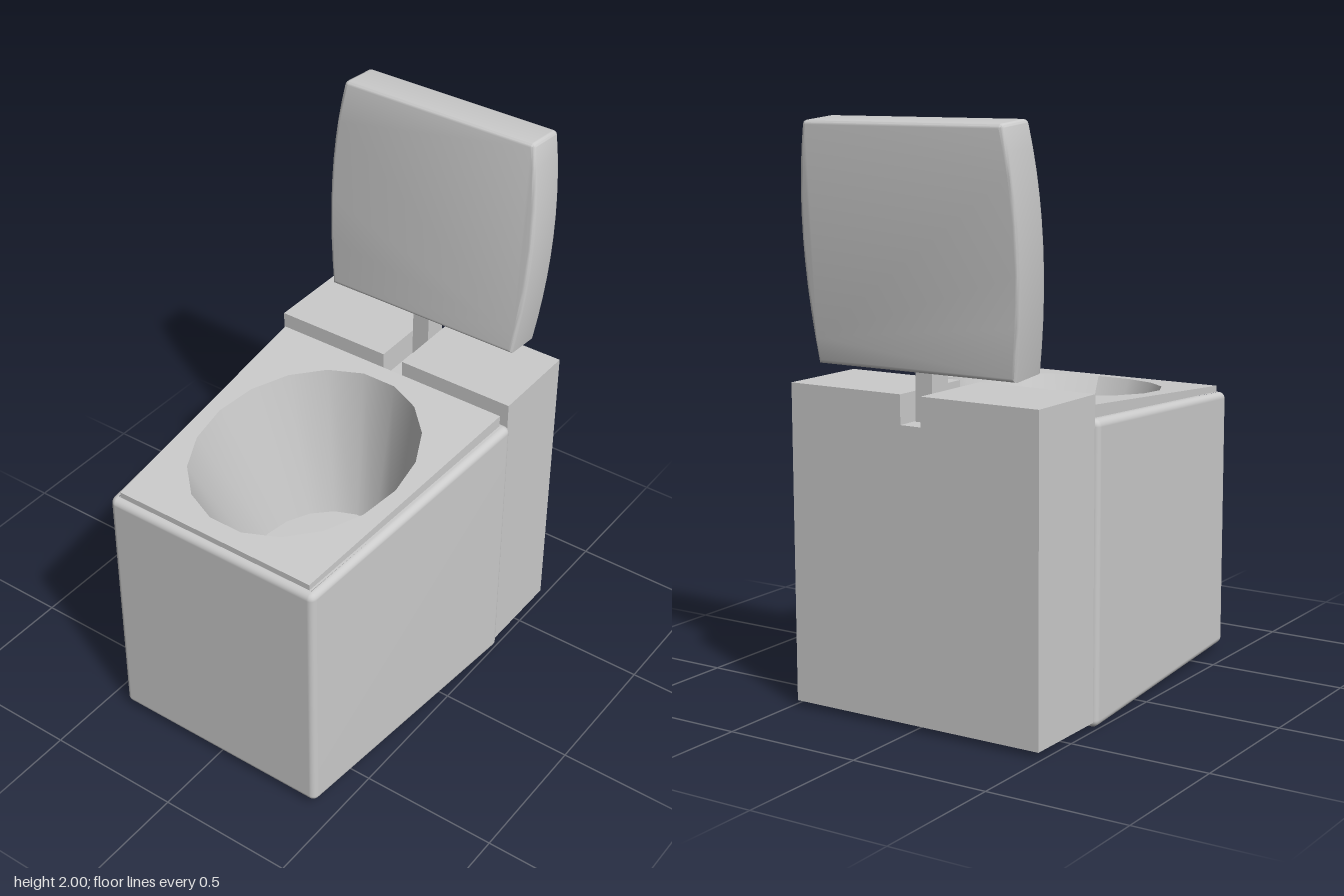
import * as THREE from 'three';
import { mergeVertices, toCreasedNormals } from 'three/addons/utils/BufferGeometryUtils.js';
import { RoundedBoxGeometry } from 'three/addons/geometries/RoundedBoxGeometry.js';

const lerp = THREE.MathUtils.lerp;
const SIDES = 18;
const STEP = (Math.PI * 2) / SIDES;
const RIM = { rx: 0.375, rz: 0.444, cz: 0.1875 };
const FLOOR = { rx: 0.242, rz: 0.284, cz: 0.1, y: 0.48 };

// Sloping top planes of the body and of the seat plate
const bodyTop = (z) => 0.972 + (0.72 - z) * 0.0625;
const seatTop = (z) => 0.995 + (0.7 - z) * 0.0837;

// Moves every vertex of a geometry by a rule
function warp(geo, rule) {
  const p = geo.attributes.position;
  const v = new THREE.Vector3();
  for (let i = 0; i < p.count; i++) {
    rule(v.fromBufferAttribute(p, i));
    p.setXYZ(i, v.x, v.y, v.z);
  }
  geo.computeVertexNormals();
  return geo;
}

// Tapered outline with the bowl opening, drawn as x, -z
function ringShape(frontX, frontZ, backX, backZ) {
  const shape = new THREE.Shape([
    new THREE.Vector2(-frontX, -frontZ), new THREE.Vector2(frontX, -frontZ),
    new THREE.Vector2(backX, -backZ), new THREE.Vector2(-backX, -backZ),
  ]);
  shape.holes.push(new THREE.Path(ellipse(RIM)));
  return shape;
}

function ellipse({ rx, rz, cz }) {
  return Array.from({ length: SIDES }, (_, i) => {
    const a = (i + 0.5) * STEP;
    return new THREE.Vector2(Math.sin(a) * rx, -(cz + Math.cos(a) * rz));
  });
}

// Rounded, tapered box whose flat top is left open for the bowl
function bodyGeometry() {
  let geo = new RoundedBoxGeometry(0.92, 1, 1.06, 4, 0.025);
  geo.deleteAttribute('normal');
  geo.deleteAttribute('uv');
  geo = mergeVertices(geo);
  const open = [];
  const p = geo.attributes.position;
  for (let i = 0; i < geo.index.count; i += 3) {
    const tri = [0, 1, 2].map((k) => geo.index.getX(i + k));
    if (!tri.every((n) => p.getY(n) > 0.4999)) open.push(...tri);
  }
  warp(geo, (v) => {
    v.z += 0.19;
    const t = (0.72 - v.z) / 1.06;
    v.x *= lerp(0.425, 0.5, t) / 0.46;
    v.y = lerp(0.02 * (1 - t), bodyTop(v.z), v.y + 0.5);
  });
  geo.setIndex(open);
  return geo;
}

export function createModel() {
  const model = new THREE.Group();
  const grey = new THREE.MeshStandardMaterial({ color: 0xcccccc });
  const thin = new THREE.MeshStandardMaterial({ color: 0xcccccc, side: THREE.DoubleSide });

  const add = (name, geo, material = grey) => {
    const mesh = new THREE.Mesh(geo, material);
    mesh.name = name;
    model.add(mesh);
    return mesh;
  };
  const box = (name, x0, x1, y0, y1, z0, z1) =>
    add(name, new THREE.BoxGeometry(x1 - x0, y1 - y0, z1 - z0))
      .position.set((x0 + x1) / 2, (y0 + y1) / 2, (z0 + z1) / 2);

  // Pedestal body and the flat margin on its top
  add('body', bodyGeometry());
  const margin = new THREE.ShapeGeometry(ringShape(0.402, 0.695, 0.475, -0.315)).rotateX(-Math.PI / 2);
  add('bodyTop', warp(margin, (v) => { v.y = bodyTop(v.z); }), thin);

  // Wedge-shaped seat plate
  const seat = new THREE.ExtrudeGeometry(ringShape(0.395, 0.695, 0.465, -0.315), { depth: 1, bevelEnabled: false });
  seat.rotateX(-Math.PI / 2);
  warp(seat, (v) => { v.y = lerp(bodyTop(v.z), seatTop(v.z), v.y); });
  add('seatPlate', toCreasedNormals(seat, 0.5));

  // Bowl narrowing from the sloping rim to a level floor
  const bowl = new THREE.CylinderGeometry(1, 1, 1, SIDES, 1, true, STEP / 2);
  warp(bowl, (v) => {
    const top = v.y > 0;
    const e = top ? RIM : FLOOR;
    v.x *= e.rx;
    v.z = e.cz + v.z * e.rz;
    v.y = top ? seatTop(v.z) : FLOOR.y;
  });
  add('bowlWall', bowl, thin);
  const floor = new THREE.ShapeGeometry(new THREE.Shape(ellipse(FLOOR))).rotateX(-Math.PI / 2);
  add('bowlFloor', floor, thin).position.y = FLOOR.y;

  // Tank with two top blocks and a slot between them
  box('tank', -0.485, 0.485, 0.02, 1.02, -0.675, -0.335);
  box('leftTankTop', 0.04, 0.485, 1.02, 1.12, -0.675, -0.335);
  box('rightTankTop', -0.485, -0.04, 1.02, 1.12, -0.675, -0.335);
  box('lidPost', -0.033, 0.033, 1.02, 1.23, -0.6, -0.51);

  // Raised lid with bulging sides, leaning back
  const outline = new THREE.Shape();
  outline.moveTo(-0.385, -0.4);
  outline.lineTo(0.385, -0.4);
  outline.quadraticCurveTo(0.453, 0.04, 0.385, 0.385);
  outline.quadraticCurveTo(0.382, 0.4, 0.367, 0.4);
  outline.lineTo(-0.367, 0.4);
  outline.quadraticCurveTo(-0.382, 0.4, -0.385, 0.385);
  outline.quadraticCurveTo(-0.453, 0.04, -0.385, -0.4);
  const lid = new THREE.ExtrudeGeometry(outline, {
    depth: 0.127, bevelThickness: 0.014, bevelSize: 0.014, bevelOffset: -0.014, bevelSegments: 3, curveSegments: 10,
  });
  lid.translate(0, 0, -0.0635);
  const lidMesh = add('lid', toCreasedNormals(lid, 0.7));
  lidMesh.position.set(0, 1.594, -0.612);
  lidMesh.rotation.x = -0.086;

  return model;
}
